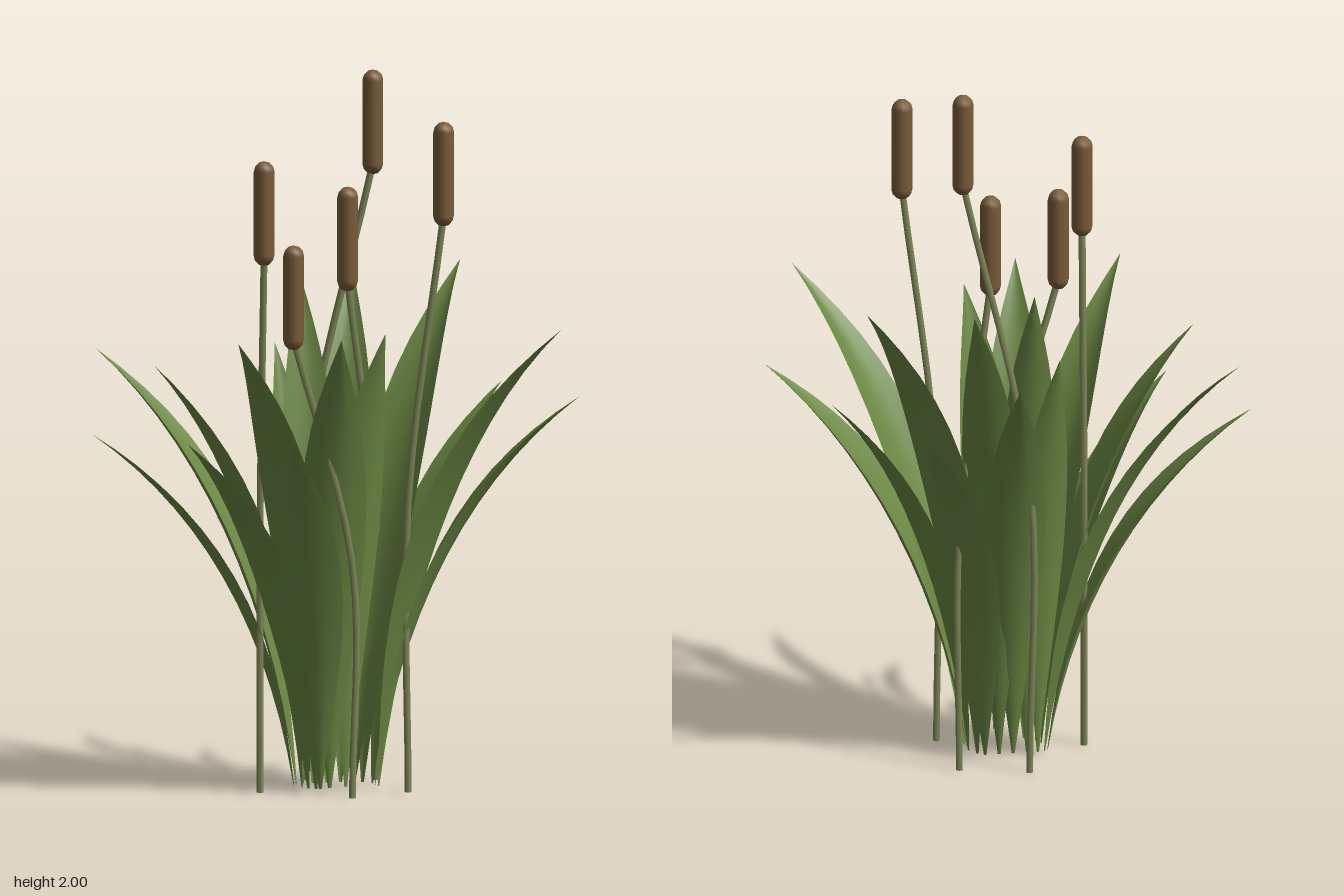
import * as THREE from 'three';

const leafGreen = new THREE.MeshStandardMaterial({ name: 'leafGreen', color: 0x6b8843, side: THREE.DoubleSide });
const stemGreen = new THREE.MeshStandardMaterial({ name: 'stemGreen', color: 0x7e8857 });
const headBrown = new THREE.MeshStandardMaterial({ name: 'headBrown', color: 0x7b5d3a });

// Reeds: foot x, z, then head x, z and the height of the head's top
const REEDS = [
  [-0.025, -0.195, 0.155, -0.145, 2.0],
  [0.19, 0.10, 0.28, 0.145, 1.89],
  [-0.21, 0.0, -0.213, 0.053, 1.785],
  [0.165, -0.145, 0.07, -0.10, 1.68],
  [0.01, 0.17, -0.173, 0.218, 1.57],
];

// Leaves: base x, z, then tip x, y, z and half the greatest width
const LEAVES = [
  [-0.09, -0.06, -0.595, 1.22, -0.335, 0.095],
  [-0.10, -0.05, -0.665, 1.01, -0.11, 0.08],
  [-0.09, 0.0, -0.525, 1.22, 0.03, 0.09],
  [-0.08, 0.03, -0.475, 1.02, 0.205, 0.085],
  [-0.06, 0.04, -0.37, 1.32, 0.355, 0.085],
  [-0.05, 0.05, -0.20, 1.02, 0.31, 0.085],
  [-0.02, 0.04, -0.075, 1.32, 0.365, 0.095],
  [0.03, 0.03, 0.095, 1.31, 0.21, 0.09],
  [0.125, 0.03, 0.55, 1.33, 0.40, 0.10],
  [0.12, 0.01, 0.66, 1.11, 0.195, 0.105],
  [0.12, -0.02, 0.53, 1.11, -0.155, 0.085],
  [0.10, -0.05, 0.455, 1.43, -0.32, 0.10],
  [0.08, -0.065, 0.275, 1.02, -0.305, 0.085],
  [0.04, -0.065, 0.16, 1.42, -0.375, 0.085],
  [0.0, -0.065, 0.035, 1.21, -0.41, 0.085],
  [-0.04, -0.065, -0.03, 1.43, -0.25, 0.08],
  [-0.07, -0.065, -0.105, 1.23, -0.23, 0.07],
];

// Curved blade, cupped towards the clump: narrow base, widest near the middle, pointed tip
function makeLeaf([bx, bz, tx, ty, tz, halfWidth]) {
  const base = new THREE.Vector3(bx, 0.01, bz);
  const tip = new THREE.Vector3(tx, ty, tz);
  const bend = base.clone().lerp(tip, 0.2).setY(ty * 0.68);
  const curve = new THREE.QuadraticBezierCurve3(base, bend, tip);
  const across = new THREE.Vector3(tz - bz, 0, bx - tx).normalize();
  const steps = 14, columns = 4;
  const positions = [], indices = [];
  for (let i = 0; i <= steps; i++) {
    const t = i / steps;
    const p = curve.getPoint(t);
    const inward = curve.getTangent(t).cross(across);
    const w = halfWidth * (0.05 * (1 - t) + 0.95 * Math.pow(Math.sin(Math.PI * Math.min(t, 0.9999)), 1.1));
    for (let j = 0; j <= columns; j++) {
      const s = (2 * j) / columns - 1;
      const v = p.clone().addScaledVector(across, s * w).addScaledVector(inward, 0.3 * w * s * s);
      positions.push(v.x, v.y, v.z);
      if (i < steps && j < columns) {
        const a = i * (columns + 1) + j, b = a + columns + 1;
        indices.push(a, b, a + 1, a + 1, b, b + 1);
      }
    }
  }
  const geometry = new THREE.BufferGeometry();
  geometry.setAttribute('position', new THREE.Float32BufferAttribute(positions, 3));
  geometry.setIndex(indices);
  geometry.computeVertexNormals();
  const leaf = new THREE.Mesh(geometry, leafGreen);
  leaf.name = 'leaf';
  return leaf;
}

// Stem upright to half its height, then leaning, with a vertical seed head
function makeReed([fx, fz, hx, hz, top]) {
  const reed = new THREE.Group();
  reed.name = 'reed';
  const headLength = 0.295, radius = 0.03;
  const stemTop = top - headLength + 0.03;
  const path = new THREE.CatmullRomCurve3([
    new THREE.Vector3(fx, 0, fz),
    new THREE.Vector3(fx, stemTop * 0.5, fz),
    new THREE.Vector3(hx, stemTop, hz),
  ]);
  const stem = new THREE.Mesh(new THREE.TubeGeometry(path, 12, 0.01, 6), stemGreen);
  stem.name = 'stem';

  // Closes the foot of the stem
  const foot = new THREE.Mesh(new THREE.CircleGeometry(0.01, 6), stemGreen);
  foot.name = 'stemFoot';
  foot.rotation.x = Math.PI / 2;
  foot.position.set(fx, 0, fz);

  const head = new THREE.Mesh(new THREE.CapsuleGeometry(radius, headLength - 2 * radius, 3, 8), headBrown);
  head.name = 'seedHead';
  head.position.set(hx, top - headLength / 2, hz);
  reed.add(stem, foot, head);
  return reed;
}

export function createModel() {
  const model = new THREE.Group();
  model.name = 'reedClump';
  const leaves = new THREE.Group();
  leaves.name = 'leaves';
  LEAVES.forEach((l) => leaves.add(makeLeaf(l)));
  const reeds = new THREE.Group();
  reeds.name = 'reeds';
  REEDS.forEach((r) => reeds.add(makeReed(r)));
  model.add(leaves, reeds);
  return model;
}
